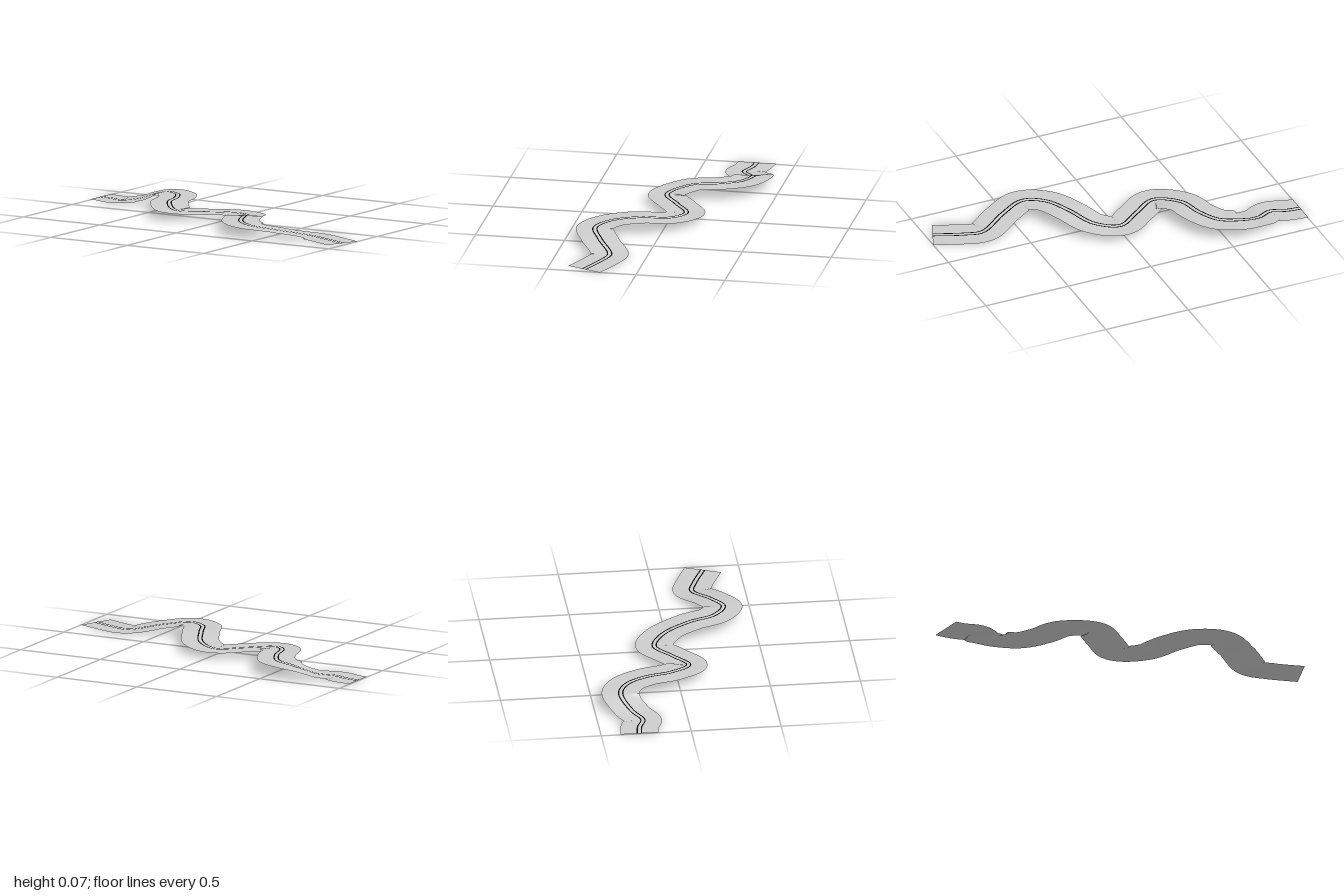
import * as THREE from 'three';

// Centre line of the road: x, height, z
const PATH = [
  [-1, 0.007, -0.292], [-0.92, 0.007, -0.281], [-0.835, 0.008, -0.253],
  [-0.745, 0.02, -0.302], [-0.62, 0.062, -0.35], [-0.505, 0.066, -0.302],
  [-0.435, 0.068, -0.19], [-0.39, 0.066, -0.045], [-0.27, 0.046, 0.069],
  [-0.134, 0.04, -0.01], [0, 0.036, -0.09], [0.13, 0.046, -0.02],
  [0.212, 0.066, 0.13], [0.285, 0.063, 0.275], [0.4, 0.057, 0.342],
  [0.54, 0.038, 0.288], [0.7, 0.01, 0.203], [0.8, 0.006, 0.228],
  [0.962, 0.004, 0.295],
];
const STEPS = 200;

export function createModel() {
  const group = new THREE.Group();
  const curve = new THREE.CatmullRomCurve3(PATH.map((p) => new THREE.Vector3(...p)));
  const asphalt = new THREE.MeshStandardMaterial({ color: 0xcccccc, side: THREE.DoubleSide });
  asphalt.name = 'light grey';
  const paint = new THREE.MeshStandardMaterial({ color: 0x050505, side: THREE.DoubleSide });
  paint.name = 'black';

  // Level ribbon swept along the path between two sideways offsets
  function ribbon(name, from, to, columns, lift, material) {
    const positions = [];
    const indices = [];
    for (let i = 0; i <= STEPS; i++) {
      const p = curve.getPointAt(i / STEPS);
      const t = curve.getTangentAt(i / STEPS);
      // The start is squared off along z
      if (i === 0) t.set(1, 0, 0);
      const side = new THREE.Vector3(-t.z, 0, t.x).normalize();
      for (let j = 0; j <= columns; j++) {
        const offset = from + ((to - from) * j) / columns;
        positions.push(p.x + side.x * offset, p.y + lift, p.z + side.z * offset);
        if (i < STEPS && j < columns) {
          const a = i * (columns + 1) + j;
          const b = a + columns + 1;
          indices.push(a, a + 1, b, b, a + 1, b + 1);
        }
      }
    }
    const geometry = new THREE.BufferGeometry();
    geometry.setAttribute('position', new THREE.Float32BufferAttribute(positions, 3));
    geometry.setIndex(indices);
    geometry.computeVertexNormals();
    const mesh = new THREE.Mesh(geometry, material);
    mesh.name = name;
    group.add(mesh);
  }

  // Road surface and the double centre line
  ribbon('roadSurface', -0.105, 0.105, 8, 0, asphalt);
  ribbon('centreLineRight', 0.008, 0.015, 1, 0.001, paint);
  ribbon('centreLineLeft', -0.015, -0.008, 1, 0.001, paint);

  // Rest on the ground and centre
  const box = new THREE.Box3().setFromObject(group);
  const c = box.getCenter(new THREE.Vector3());
  group.children.forEach((m) => m.geometry.translate(-c.x, -box.min.y, -c.z));
  return group;
}
